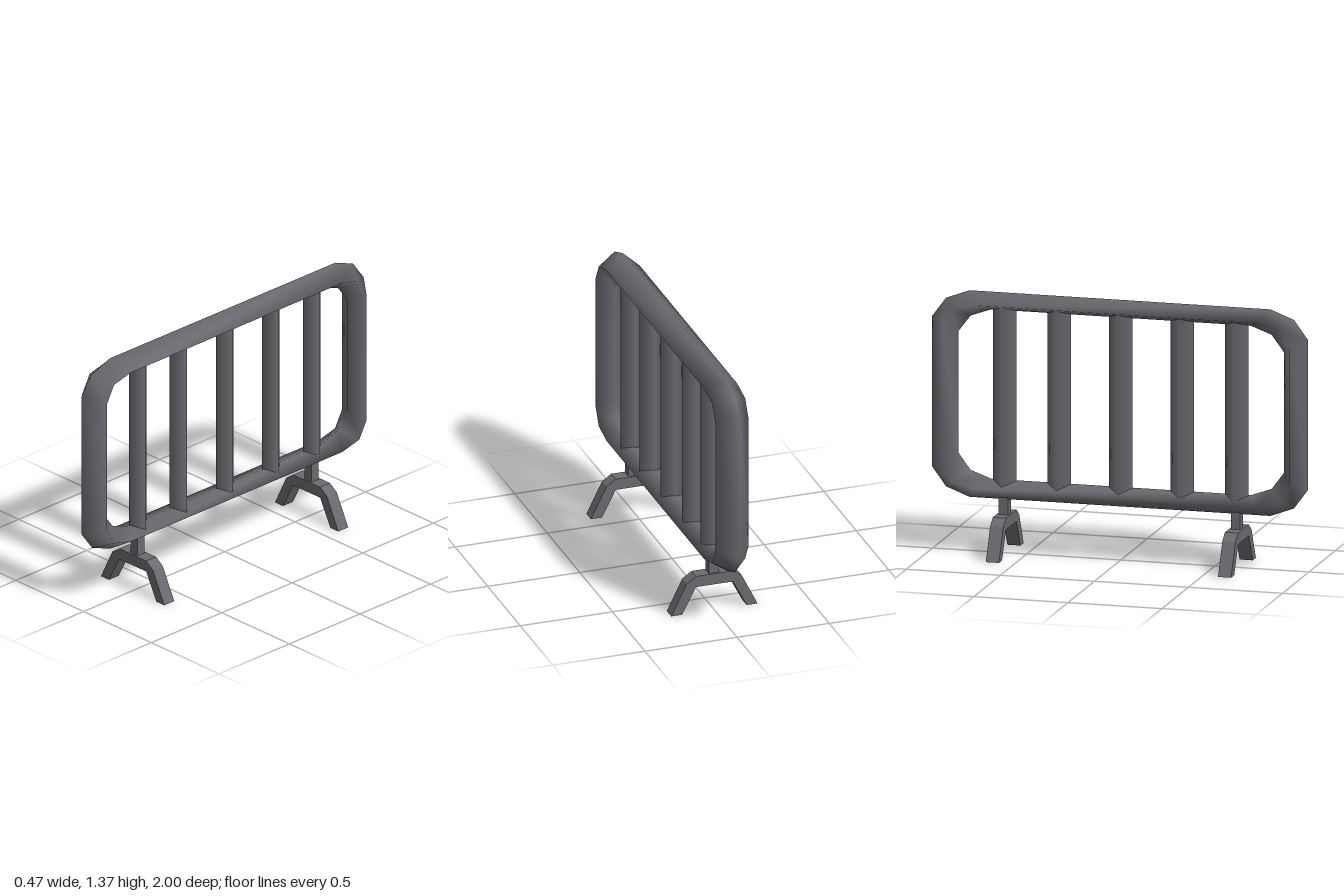
import * as THREE from 'three';

const MID_Y = 0.8275;

// One corner of the frame, from the horizontal rail round to the upright:
// [outer z, y], [shoulder z, y], [inner z, y], heights measured from the frame's middle
const CORNER = [
  [[0.80, 0.5425], [0.75, 0.482], [0.69, 0.445]],
  [[0.925, 0.495], [0.87, 0.452], [0.80, 0.405]],
  [[1.00, 0.393], [0.92, 0.36], [0.865, 0.318]],
];

// Closed tube with a four-sided, softly shaded section
function frameGeometry() {
  const rings = [];
  const addCorner = (sz, sy, reversed) => {
    const list = reversed ? [...CORNER].reverse() : CORNER;
    for (const ring of list) rings.push(ring.map(([z, y]) => [z * sz, MID_Y + y * sy]));
  };
  addCorner(-1, 1, false);
  addCorner(-1, -1, true);
  addCorner(1, -1, false);
  addCorner(1, 1, true);

  const positions = [], index = [];
  for (const [outer, shoulder, inner] of rings) {
    positions.push(-0.015, outer[1], outer[0]);
    positions.push(0.09, shoulder[1], shoulder[0]);
    positions.push(0.005, inner[1], inner[0]);
    positions.push(-0.09, shoulder[1], shoulder[0]);
  }
  const n = rings.length;
  for (let i = 0; i < n; i++) {
    for (let j = 0; j < 4; j++) {
      const k = (j + 1) % 4, next = (i + 1) % n;
      const a = i * 4 + j, b = i * 4 + k, c = next * 4 + j, d = next * 4 + k;
      index.push(a, b, c, b, d, c);
    }
  }
  const geometry = new THREE.BufferGeometry();
  geometry.setAttribute('position', new THREE.Float32BufferAttribute(positions, 3));
  geometry.setIndex(index);
  geometry.computeVertexNormals();
  return geometry;
}

// Arched foot, extruded along z
function footGeometry() {
  const half = [[0.10, 0.145], [0.175, 0], [0.234, 0], [0.15, 0.17], [0.10, 0.205]];
  const mirrored = [...half].reverse().map(([x, y]) => [-x, y]);
  const shape = new THREE.Shape([...half, ...mirrored].map(([x, y]) => new THREE.Vector2(x, y)));
  const geometry = new THREE.ExtrudeGeometry(shape, { depth: 0.07, bevelEnabled: false });
  geometry.translate(0, 0, -0.035);
  return geometry;
}

export function createModel() {
  const steel = new THREE.MeshStandardMaterial({ color: 0x6b6a70 });
  steel.name = 'darkSteel';

  const model = new THREE.Group();
  model.name = 'crowdBarrier';
  const add = (name, geometry, x, y, z, parent = model) => {
    const mesh = new THREE.Mesh(geometry, steel);
    mesh.name = name;
    mesh.position.set(x, y, z);
    parent.add(mesh);
    return mesh;
  };

  // Outer frame
  add('frame', frameGeometry(), 0, 0, 0);

  // Upright bars, ending inside the rails
  const bar = new THREE.CylinderGeometry(0.062, 0.062, 0.97, 4, 1, true);
  [-0.617, -0.327, 0, 0.327, 0.617].forEach((z, i) => add(`bar${i + 1}`, bar, 0, MID_Y, z));

  // Front and back stands
  const foot = footGeometry();
  const stem = new THREE.BoxGeometry(0.054, 0.14, 0.05);
  for (const [name, z] of [['frontStand', 0.617], ['backStand', -0.617]]) {
    const stand = new THREE.Group();
    stand.name = name;
    stand.position.z = z;
    add('foot', foot, 0, 0, 0, stand);
    add('stem', stem, 0, 0.26, 0, stand);
    model.add(stand);
  }
  return model;
}
